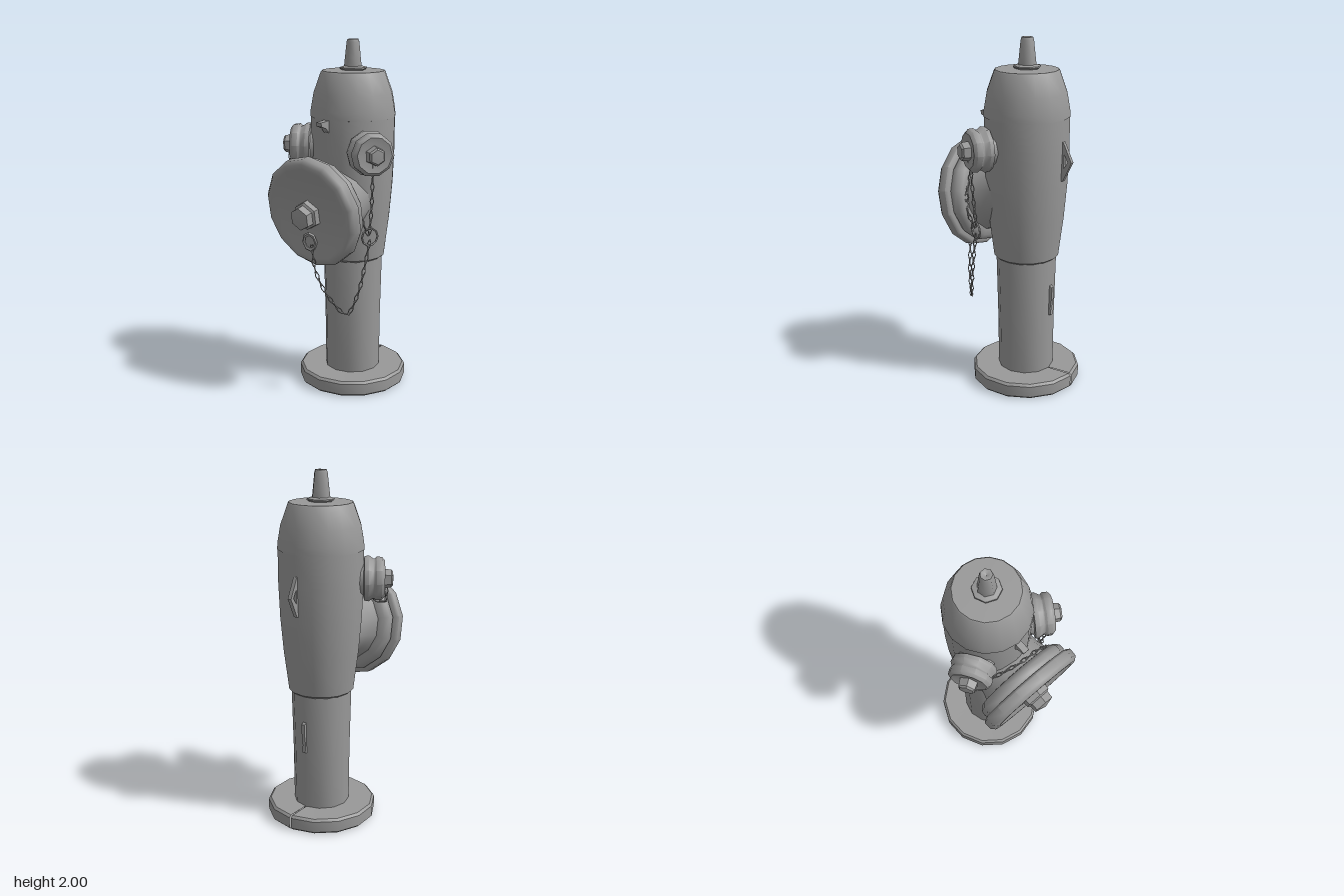
import * as THREE from 'three';
import { mergeGeometries, toCreasedNormals } from 'three/addons/utils/BufferGeometryUtils.js';

const iron = new THREE.MeshStandardMaterial({ color: 0x999999, side: THREE.DoubleSide });
iron.name = 'grey iron';

const AXIS_X = 0.01, AXIS_Z = -0.08;

function part(name, geometry, parent, crease = 0.7) {
  const mesh = new THREE.Mesh(toCreasedNormals(geometry, crease), iron);
  mesh.name = name;
  parent.add(mesh);
  return mesh;
}

// Turned part from [radius, height] pairs, listed bottom to top
function turned(profile, sides, start = 0, length = Math.PI * 2) {
  return new THREE.LatheGeometry(profile.map(([r, h]) => new THREE.Vector2(r, h)), sides, start, length);
}

// Flat outline in the z-y plane, given thickness along x
function sidePlate(outline, width, hole) {
  const shape = new THREE.Shape(outline.map(([z, y]) => new THREE.Vector2(z, y)));
  if (hole) shape.holes.push(new THREE.Path(hole.map(([z, y]) => new THREE.Vector2(z, y))));
  const g = new THREE.ExtrudeGeometry(shape, { depth: width, bevelEnabled: false });
  return g.translate(0, 0, -width / 2).rotateY(-Math.PI / 2);
}

// Links strung along a curve, every second one turned a quarter
function chain(name, points, parent) {
  const curve = new THREE.CatmullRomCurve3(points.map(p => new THREE.Vector3(...p)));
  const count = Math.round(curve.getLength() / 0.04);
  const up = new THREE.Vector3(0, 1, 0);
  const links = [];
  for (let i = 0; i <= count; i++) {
    const u = i / count;
    const turn = new THREE.Quaternion().setFromUnitVectors(up, curve.getTangentAt(u));
    const twist = new THREE.Quaternion().setFromAxisAngle(up, (i % 2) * Math.PI / 2 + 0.4);
    const g = new THREE.TorusGeometry(0.012, 0.0035, 4, 6).scale(0.8, 2.0, 1);
    g.applyQuaternion(turn.multiply(twist));
    const p = curve.getPointAt(u);
    links.push(g.translate(p.x, p.y, p.z));
  }
  part(name, mergeGeometries(links), parent);
}

export function createModel() {
  const model = new THREE.Group();
  model.name = 'hydrant';

  // Upright column
  const column = new THREE.Group();
  column.name = 'column';
  column.position.set(AXIS_X, 0, AXIS_Z);
  model.add(column);

  // Base flange with a narrow slit at the back
  part('baseFlange', turned([[0, 0.02], [0.15, 0.02], [0.17, 0], [0.3, 0], [0.313, 0.012],
    [0.313, 0.075], [0.3, 0.088], [0.15, 0.084]], 14, Math.PI + 0.015, Math.PI * 2 - 0.03), column);
  part('lowerPipe', turned([[0.16, 0.07], [0.163, 0.4], [0.172, 0.8]], 12), column);
  part('barrel', turned([[0.165, 0.76], [0.185, 0.775], [0.198, 0.88], [0.213, 1.0], [0.23, 1.2],
    [0.238, 1.4], [0.238, 1.58]], 16), column);
  part('bonnet', turned([[0.225, 1.575], [0.241, 1.578], [0.238, 1.62], [0.222, 1.71],
    [0.182, 1.822], [0.175, 1.83], [0, 1.835]], 16), column);
  part('topNutFlange', turned([[0.06, 1.828], [0.078, 1.842], [0.076, 1.848], [0.045, 1.856]], 8), column);
  part('topNut', turned([[0.052, 1.845], [0.046, 1.9], [0.037, 1.985], [0.032, 2.0],
    [0.018, 2.0], [0, 1.985]], 7), column, 1);

  // Small lugs and seam rib
  part('frontLug', sidePlate([[0.21, 1.58], [0.3, 1.572], [0.295, 1.55], [0.255, 1.535],
    [0.235, 1.51], [0.21, 1.51]], 0.035), column);
  part('rearLug', sidePlate([[-0.22, 1.46], [-0.24, 1.46], [-0.293, 1.35], [-0.24, 1.24], [-0.22, 1.24]],
    0.022, [[-0.246, 1.395], [-0.246, 1.315], [-0.27, 1.35]]), column);
  part('rearRib', sidePlate([[-0.15, 0.42], [-0.178, 0.43], [-0.172, 0.47], [-0.181, 0.53],
    [-0.182, 0.6], [-0.15, 0.62]], 0.02), column);

  // Large front outlet, facing slightly downward
  const outlet = new THREE.Group();
  outlet.name = 'frontOutlet';
  outlet.position.set(AXIS_X, 1.08, 0.317);
  outlet.rotation.x = Math.PI / 2 + 0.165;
  model.add(outlet);
  part('outletNeck', turned([[0.2, -0.3], [0.205, -0.22], [0.225, -0.15]], 14), outlet);
  part('outletRing', turned([[0.22, -0.155], [0.262, -0.15], [0.285, -0.125], [0.287, -0.095],
    [0.27, -0.07]], 14), outlet, 1);
  part('outletCap', turned([[0.26, -0.078], [0.3, -0.08], [0.314, -0.068], [0.312, -0.022],
    [0.29, 0], [0.265, 0], [0.235, -0.014], [0, -0.01]], 14), outlet, 0.9);
  part('outletNut', turned([[0.084, -0.02], [0.08, 0.02], [0.066, 0.028], [0.064, 0.07],
    [0, 0.085]], 6), outlet, 0.5);

  // Two side outlets, mirrored about the column
  for (const side of [1, -1]) {
    const nozzle = new THREE.Group();
    nozzle.name = side > 0 ? 'leftOutlet' : 'rightOutlet';
    nozzle.position.set(AXIS_X, 1.41, AXIS_Z);
    nozzle.quaternion.setFromUnitVectors(new THREE.Vector3(0, 1, 0),
      new THREE.Vector3(side * 0.845, 0, 0.535).normalize());
    model.add(nozzle);
    part('nozzleNeck', turned([[0.1, 0.15], [0.1, 0.25]], 10), nozzle);
    part('nozzleCap', turned([[0.09, 0.232], [0.122, 0.238], [0.126, 0.262], [0.11, 0.286],
      [0.11, 0.294], [0.12, 0.305], [0.118, 0.334], [0.1, 0.35], [0.07, 0.344], [0, 0.344]], 10),
      nozzle, 0.9);
    part('nozzleNut', turned([[0.055, 0.335], [0.05, 0.385], [0.04, 0.395], [0, 0.398]], 6), nozzle, 0.6);
  }

  // Rings that hold the chains
  const sideRing = part('sideRing', new THREE.TorusGeometry(0.048, 0.006, 5, 10), model);
  sideRing.position.set(0.262, 0.95, 0.09);
  sideRing.rotation.y = 1.1;
  const nutRing = part('nutRing', new THREE.TorusGeometry(0.034, 0.009, 5, 8).scale(1, 1.4, 1), model);
  nutRing.position.set(0.022, 0.93, 0.315);
  nutRing.rotation.set(0.15, 0.4, 0);

  // Chains: hanging loop, left drop, and one draped over the outlet neck
  chain('hangingChain', [[0.03, 0.89, 0.305], [0.045, 0.76, 0.295], [0.105, 0.61, 0.255],
    [0.18, 0.51, 0.19], [0.225, 0.62, 0.15], [0.248, 0.77, 0.12], [0.262, 0.91, 0.095]], model);
  chain('leftDropChain', [[0.262, 0.99, 0.09], [0.278, 1.15, 0.095], [0.286, 1.28, 0.1],
    [0.3, 1.4, 0.11]], model);
  chain('neckChain', [[-0.29, 1.38, 0.12], [-0.28, 1.28, 0.12], [-0.15, 1.29, 0.14], [0.0, 1.33, 0.18],
    [0.14, 1.29, 0.18], [0.23, 1.17, 0.17], [0.255, 1.05, 0.15], [0.26, 0.98, 0.11]], model);

  return model;
}
